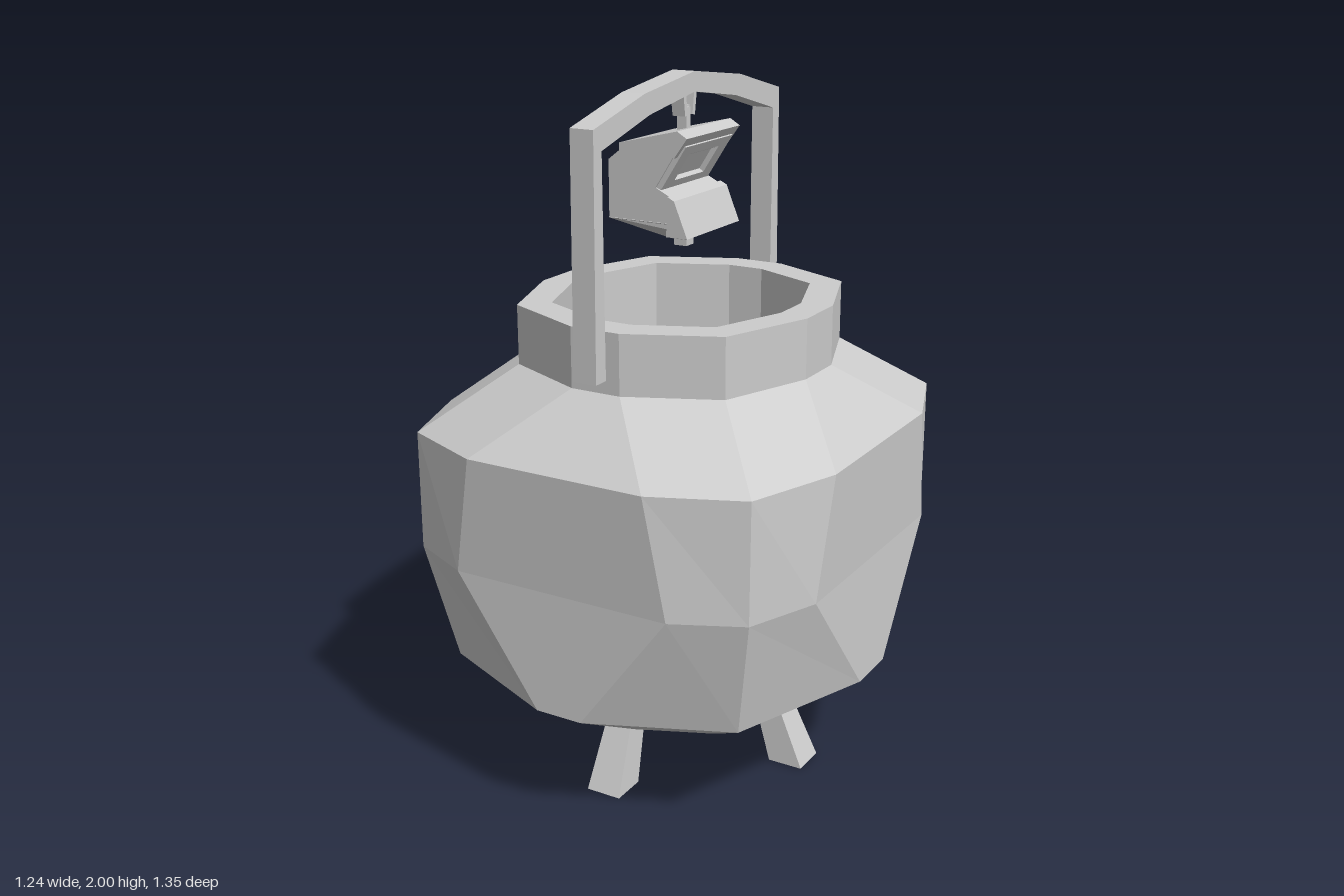
import * as THREE from 'three';

const mat = new THREE.MeshStandardMaterial({ color: 0xcccccc, flatShading: true, side: THREE.DoubleSide });

function add(parent, geometry, name) {
  const mesh = new THREE.Mesh(geometry, mat);
  mesh.name = name;
  parent.add(mesh);
  return mesh;
}

// Twelve-sided ring from the three corners of one quadrant, mirrored round
function ring(y, corners) {
  const q = corners.map(([x, z]) => [x, z]);
  const r = [...q].reverse();
  return [
    ...q, ...r.map(([x, z]) => [-x, z]),
    ...q.map(([x, z]) => [-x, -z]), ...r.map(([x, z]) => [x, -z]),
  ].map(([x, z]) => new THREE.Vector3(x, y, z));
}

// Skin neighbouring rings with quads
function loft(rings) {
  const pts = [];
  for (let k = 0; k < rings.length - 1; k++) {
    const lo = rings[k], hi = rings[k + 1], n = lo.length;
    for (let i = 0; i < n; i++) {
      const j = (i + 1) % n;
      if (!hi[i].equals(hi[j])) pts.push(lo[i], hi[i], hi[j]);
      if (!lo[i].equals(lo[j])) pts.push(lo[i], hi[j], lo[j]);
    }
  }
  const g = new THREE.BufferGeometry().setFromPoints(pts);
  g.computeVertexNormals();
  return g;
}

function slab(points, depth, hole) {
  const shape = new THREE.Shape(points.map(p => new THREE.Vector2(...p)));
  if (hole) shape.holes.push(new THREE.Path(hole.map(p => new THREE.Vector2(...p))));
  return new THREE.ExtrudeGeometry(shape, { depth, bevelEnabled: false }).translate(0, 0, -depth / 2);
}

const rect = (w, h) => [[-w, -h], [w, -h], [w, h], [-w, h]];

// Box whose ends differ: each end is [y, x0, x1, halfZ]
function taper(bottom, top) {
  const g = new THREE.BoxGeometry(1, 1, 1);
  const p = g.attributes.position;
  for (let i = 0; i < p.count; i++) {
    const [y, x0, x1, hz] = p.getY(i) < 0 ? bottom : top;
    p.setXYZ(i, p.getX(i) < 0 ? x0 : x1, y, Math.sign(p.getZ(i)) * hz);
  }
  g.computeVertexNormals();
  return g;
}

export function createModel() {
  const model = new THREE.Group();
  model.name = 'cauldron';

  // Pot: underside, belly, neck, rim, inner wall and floor in one skin
  const centre = [[0, 0], [0, 0], [0, 0]];
  const mouth = [[0.34, 0.06], [0.26, 0.28], [0.055, 0.37]];
  const neck = [[0.428, 0.08], [0.328, 0.35], [0.075, 0.463]];
  add(model, loft([
    ring(0.18, centre),
    ring(0.18, mouth),
    ring(0.35, [[0.62, 0.08], [0.46, 0.505], [0.07, 0.672]]),
    ring(0.7, [[0.608, 0.36], [0.522, 0.57], [0.33, 0.66]]),
    ring(1.04, [[0.622, 0.29], [0.523, 0.568], [0.27, 0.675]]),
    ring(1.21, neck),
    ring(1.38, neck),
    ring(1.38, mouth),
    ring(0.22, mouth),
    ring(0.22, centre),
  ]), 'pot');

  // Four splayed legs
  for (let i = 0; i < 4; i++) {
    const out = i % 2 ? 0.03 : 0;
    const leg = add(model, taper(
      [0, 0.325 + out, 0.43 + out, 0.053],
      [0.2, 0.26 + out, 0.337 + out, 0.04]), 'leg');
    leg.rotation.y = i * Math.PI / 2;
  }

  // Arched carrying handle
  const outer = [[0.512, 1.247], [0.505, 1.905], [0.26, 1.967]];
  const inner = [[0.235, 1.91], [0.468, 1.848], [0.465, 1.247]];
  const flip = list => list.map(([z, y]) => [-z, y]).reverse();
  add(model, slab([...outer, [0, 2], ...flip(outer), ...flip(inner), [0, 1.945], ...inner], 0.07)
    .rotateY(-Math.PI / 2), 'handle');

  // Hanger under the arch
  const hanger = new THREE.Group();
  hanger.name = 'hanger';
  model.add(hanger);
  for (const s of [-1, 1]) {
    const lug = add(hanger, new THREE.BoxGeometry(0.04, 0.07, 0.014), 'hangerLug');
    lug.position.set(0, 1.915, s * 0.025);
    lug.rotation.x = s * 0.15;
  }
  add(hanger, new THREE.BoxGeometry(0.016, 0.016, 0.05), 'hangerPin').position.y = 1.9;
  add(hanger, new THREE.BoxGeometry(0.03, 0.07, 0.02), 'hangerLink').position.y = 1.867;

  // Hanging box with an open wedge facing +x
  const lantern = new THREE.Group();
  lantern.name = 'hangingBox';
  model.add(lantern);
  add(lantern, slab([
    [-0.16, 1.605], [0.07, 1.585], [0.04, 1.675], [-0.01, 1.7],
    [0.07, 1.825], [-0.115, 1.8], [-0.16, 1.765],
  ], 0.27), 'hangingBoxBody');
  add(lantern, slab([
    [-0.118, 1.795], [0.03, 1.8], [0.055, 1.785], [0.095, 1.84], [0.065, 1.858], [-0.118, 1.815],
  ], 0.295), 'hangingBoxRoof');
  add(lantern, slab([
    [0.035, 1.68], [0.055, 1.67], [0.096, 1.57], [0.03, 1.57],
  ], 0.295), 'lowerLip');

  // Frame on the upper face of the wedge
  const up = new THREE.Vector3(0.54, 0.84, 0).normalize();
  const face = new THREE.Vector3(up.y, -up.x, 0);
  const frame = add(lantern, slab(rect(0.13, 0.075), 0.02, rect(0.08, 0.045)), 'wedgeFrame');
  frame.quaternion.setFromRotationMatrix(
    new THREE.Matrix4().makeBasis(up.clone().cross(face), up, face));
  frame.position.set(0.033, 1.757, 0);

  // Tapered underside and tip
  add(lantern, taper([1.54, -0.025, 0.025, 0.03], [1.605, -0.16, 0.07, 0.14]), 'hangingBoxBase');
  add(lantern, new THREE.BoxGeometry(0.04, 0.03, 0.04), 'hangingBoxTip').position.y = 1.535;

  return model;
}
